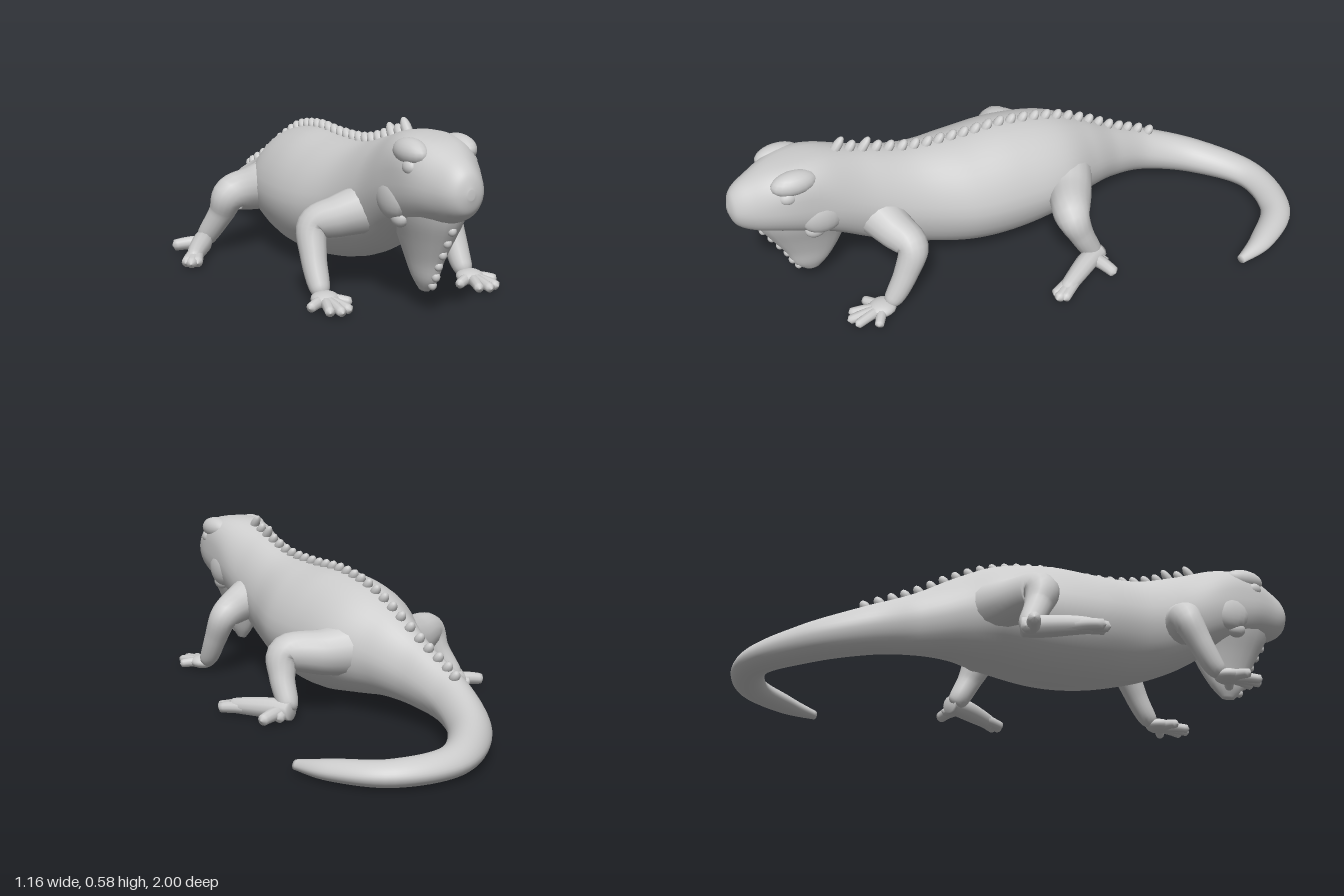
import * as THREE from 'three';

const MID = -0.06; // the body axis lies slightly to the right of x = 0
const material = new THREE.MeshStandardMaterial({ color: 0xcccccc, roughness: 0.8 });
const V = (x, y, z) => new THREE.Vector3(x, y, z);

// Smooth interpolation of every column of a table of cross-sections, t in 0..1
function at(rows, t) {
  const f = t * (rows.length - 1);
  const i = Math.min(Math.floor(f), rows.length - 2);
  const u = f - i;
  const row = (k) => rows[THREE.MathUtils.clamp(k, 0, rows.length - 1)];
  return rows[0].map((_, c) => {
    const a = row(i - 1)[c], b = row(i)[c], d = row(i + 1)[c], e = row(i + 2)[c];
    return b + 0.5 * u * (d - a + u * (2 * a - 5 * b + 4 * d - e + u * (3 * (b - d) + e - a)));
  });
}

// Closed smooth skin over rings of points
function skin(name, rings) {
  const n = rings[0].length, pos = [], idx = [];
  rings.forEach((ring) => ring.forEach((p) => pos.push(p.x, p.y, p.z)));
  for (let i = 0; i < rings.length - 1; i++) {
    for (let j = 0; j < n; j++) {
      const a = i * n + j, b = i * n + ((j + 1) % n);
      idx.push(a, a + n, b, b, a + n, b + n);
    }
  }
  [0, rings.length - 1].forEach((r, end) => {
    const c = rings[r].reduce((s, p) => s.add(p), V(0, 0, 0)).divideScalar(n);
    const k = pos.length / 3;
    pos.push(c.x, c.y, c.z);
    for (let j = 0; j < n; j++) {
      const a = r * n + j, b = r * n + ((j + 1) % n);
      if (end) idx.push(k, b, a); else idx.push(k, a, b);
    }
  });
  const g = new THREE.BufferGeometry();
  g.setAttribute('position', new THREE.Float32BufferAttribute(pos, 3));
  g.setIndex(idx);
  g.computeVertexNormals();
  const mesh = new THREE.Mesh(g, material);
  mesh.name = name;
  return mesh;
}

const ringOf = (n, fn) => Array.from({ length: n }, (_, j) => {
  const a = (j / n) * Math.PI * 2;
  return fn(Math.cos(a), Math.sin(a));
});
const power = (v, e) => Math.sign(v) * Math.abs(v) ** e;

// Limb through rows of [x, y, z, radius] with a rounded end
function limb(name, rows, ref, steps, sides) {
  const rings = [];
  for (let i = 0; i <= steps; i++) {
    const t = i / steps;
    const [x, y, z, r] = at(rows, t);
    const p0 = at(rows, Math.max(0, t - 0.02)), p1 = at(rows, Math.min(1, t + 0.02));
    const d = V(p1[0] - p0[0], p1[1] - p0[1], p1[2] - p0[2]).normalize();
    const u = d.clone().cross(ref).normalize();
    const v = u.clone().cross(d);
    const round = r * Math.sqrt(Math.max(0.01, 1 - Math.max(0, (t - 0.86) / 0.14) ** 2));
    rings.push(ringOf(sides, (c, s) =>
      V(x, y, z).addScaledVector(u, c * round).addScaledVector(v, s * round)));
  }
  return skin(name, rings);
}

// Finger or toe lying on the ground, from a root towards an offset
function digit(name, x, z, dx, dz, r) {
  return limb(name, [[x, r * 1.2, z, r * 1.15], [x + dx * 0.5, r * 1.2, z + dz * 0.5, r],
    [x + dx, r * 0.87, z + dz, r * 0.85]], V(0, 1, 0), 10, 10);
}

function blob(name, p, size) {
  const mesh = new THREE.Mesh(new THREE.SphereGeometry(1, 18, 12), material);
  mesh.name = name;
  mesh.position.set(...p);
  mesh.scale.set(...size);
  return mesh;
}

// Snout to tail tip: x, z, top, bottom, half width
const BODY = [
  [-0.063, 1, 0.43, 0.4, 0.012], [-0.063, 0.982, 0.478, 0.352, 0.052],
  [-0.063, 0.93, 0.515, 0.318, 0.084], [-0.06, 0.83, 0.55, 0.29, 0.12],
  [-0.06, 0.68, 0.554, 0.23, 0.132], [-0.058, 0.52, 0.506, 0.135, 0.138],
  [-0.055, 0.36, 0.46, 0.068, 0.162], [-0.053, 0.18, 0.447, 0.026, 0.21],
  [-0.052, 0, 0.447, 0.014, 0.219], [-0.046, -0.18, 0.417, 0.04, 0.198],
  [-0.049, -0.32, 0.355, 0.058, 0.13], [-0.06, -0.46, 0.27, 0.048, 0.083],
  [-0.063, -0.62, 0.193, 0.022, 0.074], [0.02, -0.8, 0.13, 0, 0.069],
  [0.2, -0.935, 0.094, 0, 0.06], [0.4, -0.91, 0.081, 0, 0.055],
  [0.515, -0.77, 0.065, 0, 0.043], [0.562, -0.645, 0.038, 0.006, 0.016],
];

function body() {
  const rings = [], steps = 136;
  for (let i = 0; i <= steps; i++) {
    const t = i / steps;
    const [x, z, top, bottom, half] = at(BODY, t);
    const p0 = at(BODY, Math.max(0, t - 0.01)), p1 = at(BODY, Math.min(1, t + 0.01));
    const d = new THREE.Vector2(p1[0] - p0[0], p1[1] - p0[1]).normalize();
    const cy = (top + bottom) / 2, h = (top - bottom) / 2;
    // the crown is boxy, the trunk narrows towards the back ridge
    const boxy = Math.exp(-(((z - 0.77) / 0.13) ** 2));
    rings.push(ringOf(36, (c, s) => {
      const e = s > 0 ? 1 - 0.32 * boxy : 1 - 0.08 * boxy;
      const w = half * power(c, e) * (1 - 0.12 * (1 - boxy) * Math.max(0, s));
      return V(x - d.y * w, cy + h * power(s, e), z + d.x * w);
    }));
  }
  return skin('bodyAndTail', rings);
}

// Throat fan with a row of small spikes: y, front z, back z, half width
function dewlap() {
  const rows = [[0.36, 0.93, 0.55, 0.105], [0.3, 0.91, 0.56, 0.09], [0.23, 0.87, 0.6, 0.065],
    [0.16, 0.83, 0.635, 0.044], [0.1, 0.805, 0.675, 0.03], [0.06, 0.765, 0.715, 0.012]];
  const group = new THREE.Group();
  group.name = 'dewlap';
  const rings = [];
  for (let i = 0; i <= 20; i++) {
    const [y, f, b, w] = at(rows, i / 20);
    rings.push(ringOf(20, (c, s) => V(MID + s * w, y, (f + b) / 2 + (c * (f - b)) / 2)));
  }
  group.add(skin('throatSkin', rings));
  for (let i = 0; i < 6; i++) {
    const [y, f] = at(rows, 0.25 + i * 0.12);
    group.add(blob('throatSpike', [MID, y, f - 0.006], [0.014, 0.016, 0.014]));
  }
  return group;
}

// Row of backward-leaning spines, evenly spaced in z along the back
function crest() {
  const group = new THREE.Group();
  group.name = 'crest';
  const geometry = new THREE.SphereGeometry(1, 10, 8);
  const count = 28;
  let t = 0.15;
  for (let i = 0; i < count; i++) {
    const target = 0.615 - (1.24 * i) / (count - 1);
    while (at(BODY, t)[1] > target) t += 0.0005;
    const [x, z, top] = at(BODY, t);
    const tall = i === 0 || i === 2 ? 0.046 : 0.032 - 0.006 * (i / count);
    const spine = new THREE.Mesh(geometry, material);
    spine.name = 'spine';
    spine.position.set(x + 0.004, top + 0.001, z);
    spine.scale.set(0.018, tall, 0.017);
    spine.rotation.x = -0.65;
    group.add(spine);
  }
  return group;
}

function frontLeg(s) {
  const group = new THREE.Group();
  group.name = s > 0 ? 'leftFrontLeg' : 'rightFrontLeg';
  const X = (x) => MID + s * x;
  group.add(limb('arm', [[X(0.06), 0.285, 0.52, 0.085], [X(0.165), 0.255, 0.485, 0.068],
    [X(0.24), 0.225, 0.455, 0.054], [X(0.258), 0.14, 0.49, 0.043],
    [X(0.262), 0.06, 0.535, 0.036], [X(0.265), 0.025, 0.57, 0.025]], V(0, 0, 1), 32, 16));
  group.add(blob('palm', [X(0.265), 0.024, 0.59], [0.046, 0.025, 0.05]));
  // five fingers fanned out, the middle one longest
  for (let k = -2; k <= 2; k++) {
    const a = 0.23 * k + 0.07 * k ** 3, length = 0.13 - 0.011 * k * k;
    group.add(digit('finger', X(0.267), 0.588, s * length * Math.sin(a), length * Math.cos(a), 0.018));
  }
  return group;
}

function hindLeg(s) {
  const group = new THREE.Group();
  group.name = s > 0 ? 'leftHindLeg' : 'rightHindLeg';
  const X = (x) => MID + s * x;
  const H = (x) => -0.045 + s * x; // the hips lie nearer to x = 0
  group.add(limb('thighAndShin', [[H(0.07), 0.22, -0.215, 0.1], [H(0.19), 0.21, -0.17, 0.08],
    [H(0.305), 0.21, -0.115, 0.064], [H(0.335), 0.14, -0.135, 0.046],
    [X(0.355), 0.06, -0.175, 0.038], [X(0.365), 0.03, -0.195, 0.028]], V(0, 0, 1), 32, 16));
  group.add(limb('sole', [[X(0.36), 0.034, -0.21, 0.032], [X(0.395), 0.035, -0.14, 0.036],
    [X(0.445), 0.031, -0.06, 0.031], [X(0.48), 0.024, 0, 0.024]], V(0, 1, 0), 16, 12));
  // long toes forward, short toes out to the side
  for (let k = -1; k <= 1; k++) {
    const a = 0.51 + 0.15 * k, length = 0.148 - 0.012 * k * k;
    group.add(digit('longToe', X(0.43), -0.09, s * length * Math.sin(a), length * Math.cos(a), 0.021));
  }
  group.add(digit('sideToe', X(0.37), -0.172, s * 0.11, -0.038, 0.023));
  group.add(digit('shortToe', X(0.37), -0.18, s * 0.045, -0.035, 0.019));
  return group;
}

export function createModel() {
  const model = new THREE.Group();
  model.name = 'lizard';
  model.add(body(), dewlap(), crest());
  for (const s of [1, -1]) {
    const side = s > 0 ? 'left' : 'right';
    model.add(blob(side + 'Brow', [MID + s * 0.082, 0.51, 0.79], [0.044, 0.042, 0.08]));
    model.add(blob(side + 'Eye', [MID + s * 0.1, 0.472, 0.82], [0.024, 0.026, 0.032]));
    model.add(blob(side + 'Jowl', [MID + s * 0.1, 0.36, 0.71], [0.036, 0.07, 0.08]));
    model.add(blob(side + 'CheekScale', [MID + s * 0.09, 0.3, 0.74], [0.025, 0.03, 0.037]));
    model.add(frontLeg(s), hindLeg(s));
  }
  return model;
}
